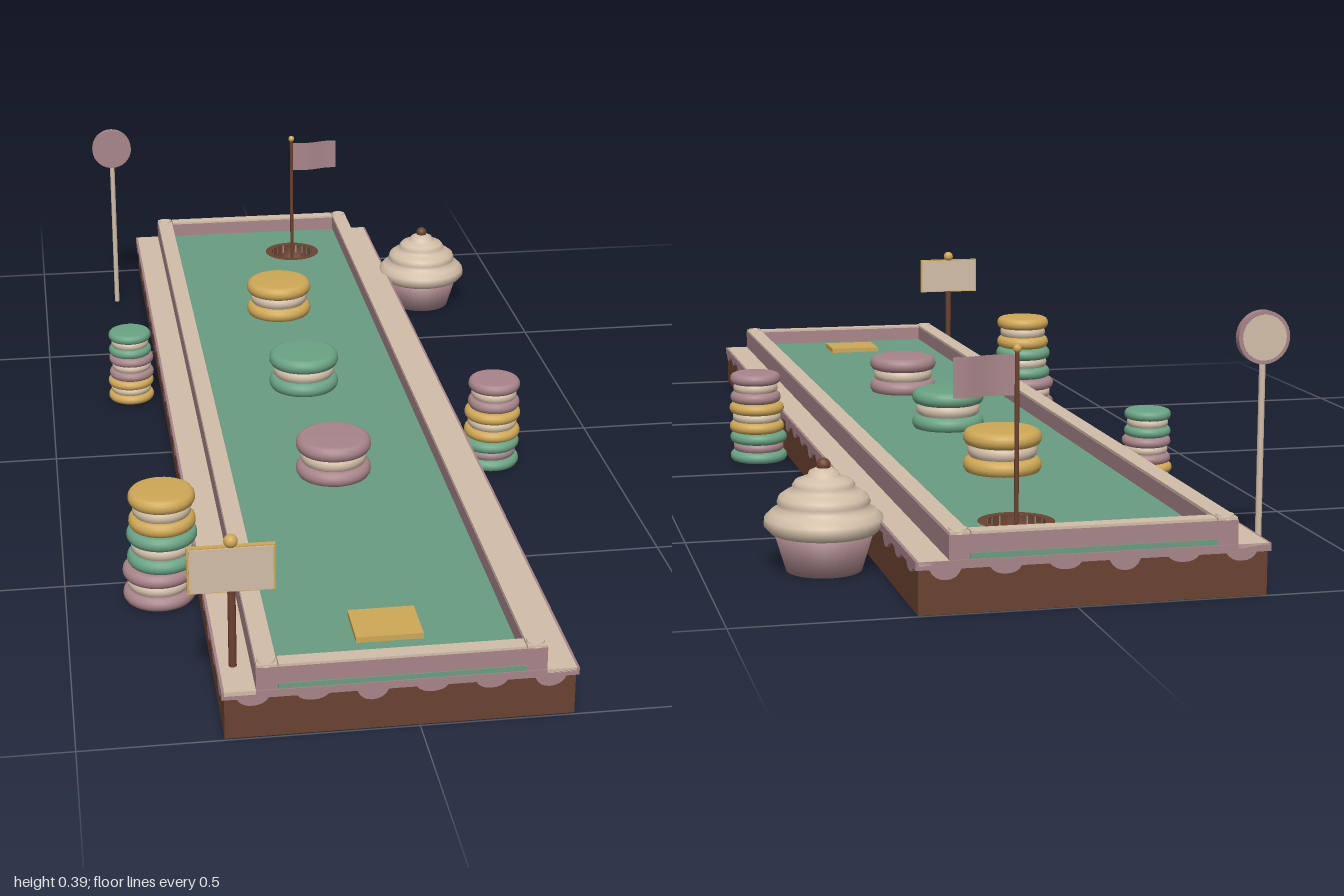
import * as THREE from 'three';

const mat = (name, color, side = THREE.FrontSide) => {
  const m = new THREE.MeshStandardMaterial({ color, side });
  m.name = name;
  return m;
};

export function createModel() {
  const D = THREE.DoubleSide;
  const pink = mat('dusty pink', 0xa8858a, D);
  const cream = mat('cream', 0xd2bea8);
  const gold = mat('gold', 0xcfa856);
  const mint = mat('mint green', 0x6aa384);
  const felt = mat('felt green', 0x6a9c82);
  const brown = mat('chocolate', 0x6b4230, D);
  const root = new THREE.Group();
  root.name = 'miniatureGolfLane';

  const add = (name, geo, m, x = 0, y = 0, z = 0, parent = root) => {
    const mesh = new THREE.Mesh(geo, m);
    mesh.name = name;
    mesh.position.set(x, y, z);
    parent.add(mesh);
    return mesh;
  };
  // box from its lower and upper bounds
  const box = (name, m, x0, x1, y0, y1, z0, z1) =>
    add(name, new THREE.BoxGeometry(x1 - x0, y1 - y0, z1 - z0), m, (x0 + x1) / 2, (y0 + y1) / 2, (z0 + z1) / 2);
  const lathe = (pts, seg = 32) => new THREE.LatheGeometry(pts.map(p => new THREE.Vector2(...p)), seg);

  const X0 = -0.29, X1 = 0.235, R0 = -0.24, R1 = 0.187, CX = (X0 + X1) / 2;
  const F0 = -0.208, F1 = 0.156, HX = 0.045, HZ = -0.83;

  // hollow chocolate base
  for (const s of [-1, 1]) {
    const z = s * 0.991;
    box('baseEnd', brown, X0 + 0.004, X1 - 0.004, 0, 0.074, z - 0.005, z + 0.005);
    const x = CX + s * 0.2535;
    box('baseSide', brown, x - 0.005, x + 0.005, 0, 0.074, -0.986, 0.986);
  }
  // icing band with drips along the lower edge
  const icing = (length, n) => {
    const s = new THREE.Shape(), step = length / n;
    s.moveTo(-length / 2, 0.078);
    s.lineTo(-length / 2, 0.066);
    for (let i = 0; i < n; i++) {
      const a = -length / 2 + i * step, low = 0.054 + 0.004 * Math.sin(i * 2.3);
      s.lineTo(a + step * 0.25, 0.066);
      s.quadraticCurveTo(a + step * 0.32, low, a + step * 0.5, low);
      s.quadraticCurveTo(a + step * 0.7, low, a + step * 0.78, 0.066);
    }
    s.lineTo(length / 2, 0.066);
    s.lineTo(length / 2, 0.078);
    return new THREE.ExtrudeGeometry(s, { depth: 0.004, bevelEnabled: false, curveSegments: 4 });
  };
  add('icingFront', icing(X1 - X0, 6), pink, CX, 0, 0.996);
  add('icingBack', icing(X1 - X0, 6), pink, CX, 0, -1);
  add('icingLeft', icing(2, 24), pink, X1 - 0.004).rotation.y = Math.PI / 2;
  add('icingRight', icing(2, 24), pink, X0).rotation.y = Math.PI / 2;

  // ledges beside the rails
  box('ledgeRight', cream, X0 + 0.004, R0, 0.072, 0.0785, -1, 1);
  box('ledgeLeft', cream, R1, X1 - 0.004, 0.072, 0.0785, -1, 1);

  // floor slabs pierced by the hole
  const slab = (x0, x1, zEnd, depth) => {
    const s = new THREE.Shape();
    s.moveTo(x0, -zEnd); s.lineTo(x1, -zEnd); s.lineTo(x1, zEnd); s.lineTo(x0, zEnd); s.closePath();
    const h = new THREE.Path();
    h.absarc(HX, -HZ, 0.046, 0, Math.PI * 2, true);
    s.holes.push(h);
    const g = new THREE.ExtrudeGeometry(s, { depth, bevelEnabled: false, curveSegments: 16 });
    return g.rotateX(-Math.PI / 2);
  };
  add('floorSlab', slab(R0, R1, 0.985, 0.008), pink, 0, 0.07, 0);
  add('feltSurface', slab(F0, F1, 0.976, 0.009), felt, 0, 0.078, 0);

  // rails with cream caps and corner studs
  const rail = (x0, x1, z0, z1) => {
    box('rail', pink, x0, x1, 0.076, 0.114, z0, z1);
    box('railCap', cream, x0 + 0.001, x1 - 0.001, 0.114, 0.118, z0, z1);
  };
  rail(R0, F0, -0.998, 0.998);
  rail(F1, R1, -0.998, 0.998);
  for (const s of [-1, 1]) {
    rail(F0, F1, s * 0.986 - 0.012, s * 0.986 + 0.012);
    box('feltEndStrip', felt, F0, F1, 0.079, 0.087, s * 0.999 - 0.001, s * 0.999 + 0.001);
    for (const x of [R0 + 0.016, R1 - 0.016])
      add('cornerStud', new THREE.CylinderGeometry(0.013, 0.015, 0.007, 16), cream, x, 0.1175, s * 0.984);
  }

  // hole: rim, cup, pole and waving flag
  add('holeRim', new THREE.RingGeometry(0.044, 0.058, 32).rotateX(-Math.PI / 2), brown, HX, 0.0885, HZ);
  add('holeCup', lathe([[0, 0.03], [0.046, 0.03], [0.046, 0.088]], 20), brown, HX, 0, HZ);
  add('flagPole', new THREE.CylinderGeometry(0.0035, 0.0035, 0.315, 10), brown, HX, 0.1875, HZ);
  add('flagFinial', new THREE.SphereGeometry(0.0065, 12, 8), gold, HX, 0.347, HZ);
  const flag = new THREE.PlaneGeometry(0.098, 0.061, 16, 1), fp = flag.attributes.position;
  for (let i = 0; i < fp.count; i++) fp.setZ(i, 0.006 * Math.sin((fp.getX(i) + 0.049) * 55));
  flag.computeVertexNormals();
  add('flag', flag, pink, HX + 0.049, 0.3075, HZ);

  // tee mat
  box('teeMat', gold, -0.08, 0.022, 0.086, 0.096, 0.815, 0.9);

  // sandwich biscuit: two rounded shells with a filling between
  const macaron = (name, m, fill, x, y, z, r, h) => {
    const g = new THREE.Group();
    g.name = name;
    g.position.set(x, y, z);
    root.add(g);
    const t = 0.37 * h;
    const shell = lathe([[0, 0], [0.84 * r, 0], [0.94 * r, 0.1 * t], [0.99 * r, 0.3 * t], [r, 0.5 * t],
      [0.98 * r, 0.72 * t], [0.92 * r, 0.9 * t], [0.82 * r, t], [0, t]]);
    add('lowerShell', shell, m, 0, 0, 0, g);
    add('filling', lathe([[0.8 * r, 0.34 * h], [0.87 * r, 0.42 * h], [0.88 * r, 0.5 * h], [0.87 * r, 0.58 * h],
      [0.8 * r, 0.66 * h]]), fill, 0, 0, 0, g);
    add('upperShell', shell, m, 0, h - t, 0, g);
  };
  // obstacles on the lane
  [[gold, -0.47], [mint, -0.08], [pink, 0.31]].forEach(([m, z]) =>
    macaron('laneObstacle', m, cream, -0.028, 0.085, z, 0.065, 0.073));
  // stacks beside the lane, each layer [material, filling, x, radius]
  const stack = (z, h, layers) => layers.forEach(([m, f, x, r], i) =>
    macaron('stackLayer', m, f, x, i * h, z, r, h));
  stack(0.555, 0.0643, [[pink, cream, -0.348, 0.059], [mint, cream, -0.342, 0.057], [gold, cream, -0.341, 0.054]]);
  stack(0.12, 0.0555, [[mint, pink, 0.29, 0.053], [gold, cream, 0.293, 0.051], [pink, cream, 0.295, 0.047]]);
  stack(-0.27, 0.0473, [[gold, cream, -0.345, 0.044], [pink, cream, -0.343, 0.043], [mint, cream, -0.345, 0.041]]);

  // cupcake: wrapper, tiered frosting and cherry
  const cx = 0.313, cz = -0.71;
  add('cupcakeWrapper', lathe([[0, 0], [0.058, 0], [0.078, 0.066], [0, 0.066]]), pink, cx, 0, cz);
  add('cupcakeFrosting', lathe([[0.06, 0.058], [0.082, 0.06], [0.091, 0.07], [0.09, 0.082], [0.08, 0.092],
    [0.068, 0.097], [0.071, 0.105], [0.068, 0.114], [0.058, 0.121], [0.046, 0.124], [0.048, 0.131],
    [0.043, 0.138], [0.03, 0.143], [0.024, 0.146], [0.022, 0.152], [0.012, 0.157], [0, 0.158]]), cream, cx, 0, cz);
  add('cupcakeCherry', new THREE.SphereGeometry(0.011, 16, 10), brown, cx, 0.161, cz);

  // sign
  const sx = -0.266, sz = 0.925;
  add('signPost', new THREE.CylinderGeometry(0.006, 0.006, 0.14, 12), brown, sx, 0.142, sz);
  box('signBoard', gold, sx - 0.064, sx + 0.064, 0.202, 0.275, sz - 0.004, sz + 0.004);
  box('signFace', cream, sx - 0.061, sx + 0.061, 0.204, 0.273, sz - 0.006, sz + 0.006);
  add('signFinial', new THREE.SphereGeometry(0.0105, 16, 10), gold, sx, 0.282, sz);

  // lollipop
  const lx = -0.345, lz = -0.808;
  add('lollipopStick', new THREE.CylinderGeometry(0.005, 0.005, 0.33, 12), cream, lx, 0.165, lz);
  add('lollipopDisc', new THREE.CylinderGeometry(0.041, 0.041, 0.014, 32).rotateX(Math.PI / 2), pink, lx, 0.348, lz);
  add('lollipopBackFace', new THREE.CylinderGeometry(0.035, 0.035, 0.003, 32).rotateX(Math.PI / 2), cream, lx, 0.348, lz - 0.007);
  return root;
}
